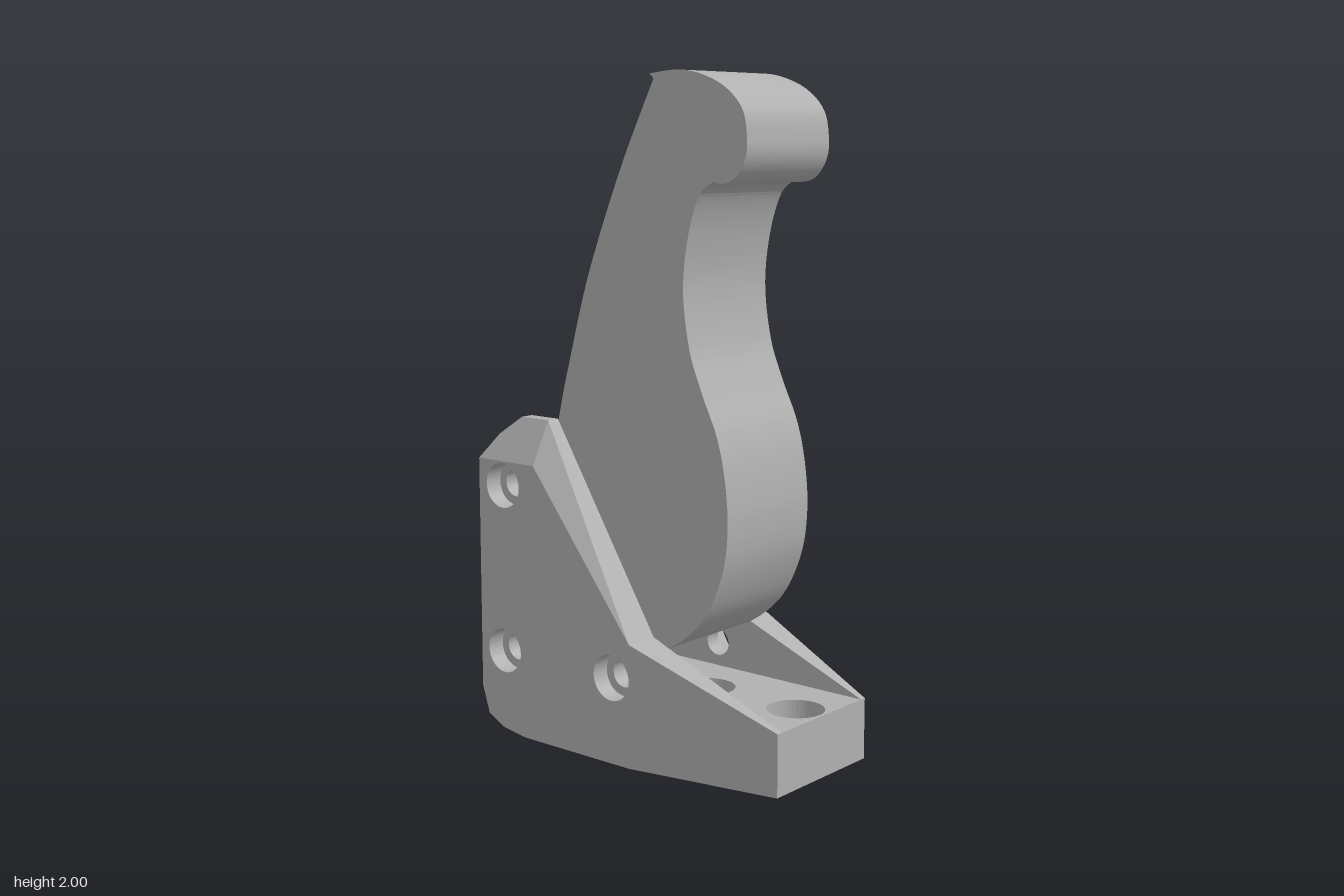
import * as THREE from 'three';

const grey = new THREE.MeshStandardMaterial({ color: 0xb0b0b0, side: THREE.DoubleSide });
grey.name = 'plain grey';

const INNER = 0.1935, OUTER = 0.3025, END = 0.2125, TOP = 0.235; // wall offsets from the centre plane
const FLOOR = 0.185, LEDGE = 0.1, POCKET = 0.245;
const BOLTS = [[-0.44, 0.775], [-0.44, 0.26], [0, 0.26]];
const BORES = [0.445, 0.115];

const v2 = (pts) => pts.map(([x, y]) => new THREE.Vector2(x, y));

function addMesh(parent, name, geometry) {
  const mesh = new THREE.Mesh(geometry, grey);
  mesh.name = name;
  parent.add(mesh);
  return mesh;
}

// Regular polygon outline, first corner on +x
function ring(cx, cy, r, sides) {
  return Array.from({ length: sides }, (_, i) => {
    const a = (i / sides) * Math.PI * 2;
    return new THREE.Vector2(cx + r * Math.cos(a), cy + r * Math.sin(a));
  });
}

function shapeWithHoles(points, holes) {
  const shape = new THREE.Shape(points);
  holes.forEach((h) => shape.holes.push(new THREE.Path(h)));
  return shape;
}

// Flat-shaded convex polygons given as corner loops
function facets(polygons) {
  const out = [];
  for (const p of polygons)
    for (let i = 1; i < p.length - 1; i++) out.push(...p[0], ...p[i], ...p[i + 1]);
  const g = new THREE.BufferGeometry();
  g.setAttribute('position', new THREE.Float32BufferAttribute(out, 3));
  g.computeVertexNormals();
  return g;
}

// Open tube along z, used as the lining of a hole
function lining(x, y, r, z0, z1, sides) {
  let g = new THREE.CylinderGeometry(r, r, z1 - z0, sides, 1, true, Math.PI / 2);
  g.rotateX(Math.PI / 2);
  g.translate(x, y, (z0 + z1) / 2);
  if (sides < 12) {
    g = g.toNonIndexed();
    g.computeVertexNormals();
  }
  return g;
}

// One cheek of the bracket, with bolt recesses of the given number of sides
function sideWall(name, recessSides) {
  const wall = new THREE.Group();
  wall.name = name;
  const outline = [
    [-0.36, 0, OUTER], [0.07, 0, OUTER], [0.54, 0, END], [0.54, FLOOR, END], [0.07, 0.372, OUTER],
    [-0.31, 0.98, TOP], [-0.42, 0.98, TOP], [-0.488, 0.925, 0.2636], [-0.54, 0.85, OUTER],
    [-0.54, 0.13, OUTER], [-0.512, 0.045, OUTER], [-0.45, 0.014, OUTER],
  ];
  const knee = [-0.31, 0.85, OUTER];
  const at = (...ids) => ids.map((i) => outline[i]);

  // Outer face, bevels and rim
  const flat = [...at(0, 1, 4), knee, ...at(8, 9, 10, 11)];
  const recesses = BOLTS.map(([x, y]) => ring(x, y, 0.069, recessSides));
  const face = new THREE.ShapeGeometry(shapeWithHoles(v2(flat), recesses));
  addMesh(wall, 'outerFace', face.translate(0, 0, OUTER));
  addMesh(wall, 'bevels', facets([
    at(1, 2, 3, 4), [outline[8], knee, ...at(5, 6, 7)], [knee, ...at(4, 5)],
  ]));
  addMesh(wall, 'rim', facets(outline.map((a, i) => {
    const b = outline[(i + 1) % outline.length];
    return [[a[0], a[1], INNER], [b[0], b[1], INNER], b, a];
  })));

  // Inner face
  const holes = BOLTS.map(([x, y]) => ring(x, y, 0.042, 32));
  const inner = new THREE.ShapeGeometry(shapeWithHoles(v2(outline), holes));
  addMesh(wall, 'innerFace', inner.translate(0, 0, INNER));

  // Bolt holes: narrow bore, ledge and recess
  BOLTS.forEach(([x, y], i) => {
    addMesh(wall, 'boltBore', lining(x, y, 0.042, INNER, POCKET, 32));
    addMesh(wall, 'boltRecess', lining(x, y, 0.069, POCKET, OUTER, recessSides));
    const ledge = new THREE.ShapeGeometry(shapeWithHoles(recesses[i], [holes[i]]));
    addMesh(wall, 'boltLedge', ledge.translate(0, 0, POCKET));
  });
  return wall;
}

// Floor slab between the cheeks, with two counterbored screw holes
function floorPlate() {
  const floor = new THREE.Group();
  floor.name = 'floor';
  const layer = (name, x0, y0, y1, r) => {
    const plan = v2([[x0, -INNER], [0.54, -INNER], [0.54, INNER], [x0, INNER]]);
    const shape = shapeWithHoles(plan, BORES.map((x) => ring(x, 0, r, 40)));
    const g = new THREE.ExtrudeGeometry(shape, { depth: y1 - y0, bevelEnabled: false });
    g.rotateX(-Math.PI / 2);
    addMesh(floor, name, g.translate(0, y0, 0));
  };
  layer('lowerFloor', -0.36, 0, LEDGE, 0.05);
  layer('upperFloor', -0.36, LEDGE, FLOOR, 0.085);

  // Rounded heel
  const heel = new THREE.Shape(v2([
    [-0.36, 0], [-0.36, FLOOR], [-0.54, FLOOR], [-0.54, 0.13], [-0.512, 0.045], [-0.45, 0.014],
  ]));
  const g = new THREE.ExtrudeGeometry(heel, { depth: 2 * INNER, bevelEnabled: false });
  addMesh(floor, 'heel', g.translate(0, 0, -INNER));
  return floor;
}

// Curved lever with a hooked top
function lever() {
  const s = new THREE.Shape();
  s.moveTo(-0.42, 0.33);
  s.lineTo(0.03, 0.322);
  s.splineThru(v2([ // belly and neck
    [0.13, 0.35], [0.25, 0.45], [0.32, 0.59], [0.341, 0.73], [0.33, 0.87], [0.3, 0.99], [0.245, 1.11],
    [0.2, 1.23], [0.178, 1.39], [0.195, 1.54], [0.235, 1.655], [0.285, 1.695],
  ]));
  s.splineThru(v2([ // hook
    [0.325, 1.69], [0.365, 1.71], [0.395, 1.755], [0.402, 1.81], [0.385, 1.89], [0.325, 1.95],
    [0.24, 1.987], [0.155, 2], [0.055, 1.992],
  ]));
  s.lineTo(0.07, 1.978);
  s.splineThru(v2([ // back edge
    [-0.055, 1.73], [-0.18, 1.43], [-0.26, 1.17], [-0.31, 0.98], [-0.365, 0.7], [-0.42, 0.33],
  ]));
  const g = new THREE.ExtrudeGeometry(s, { depth: 0.378, bevelEnabled: false, curveSegments: 8 });
  return g.translate(0, 0, -0.189);
}

export function createModel() {
  const model = new THREE.Group();
  model.name = 'leverBracket';
  const body = new THREE.Group();
  body.name = 'body';
  body.rotation.y = 0.0167; // slight turn about the upright axis
  body.position.z = -0.0065;

  const back = sideWall('backWall', 6);
  back.scale.z = -1;
  body.add(sideWall('frontWall', 32), back, floorPlate());
  addMesh(body, 'lever', lever());
  model.add(body);
  return model;
}
